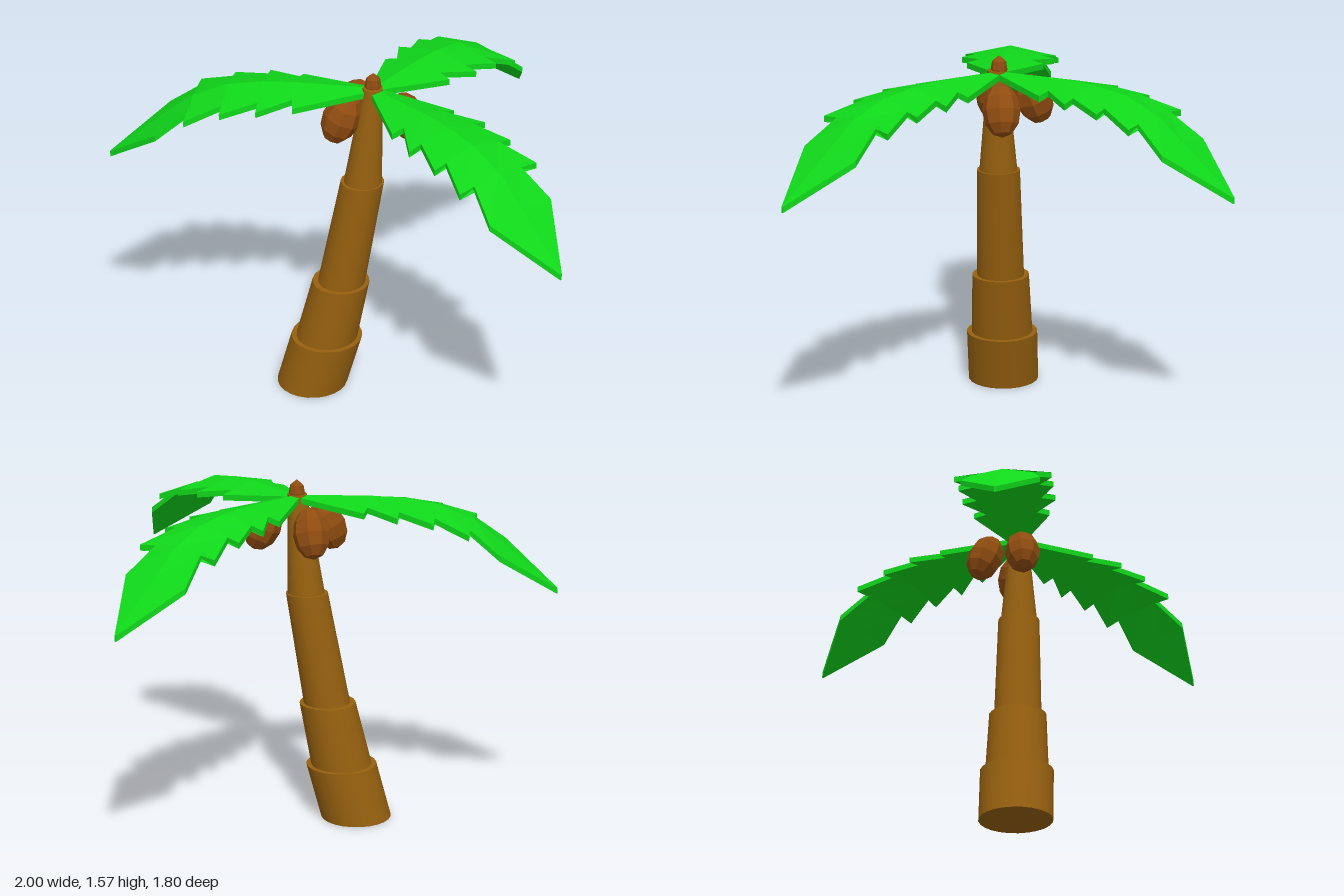
import * as THREE from 'three';

const bark = new THREE.MeshStandardMaterial({ color: 0x96600f });
const shell = new THREE.MeshStandardMaterial({ color: 0x904c10, flatShading: true });
const leaf = new THREE.MeshStandardMaterial({ color: 0x10d81a, flatShading: true });

const AXIS_Z = 0.105;

// One tapered trunk section whose level ends are shifted sideways (a lean by shear)
function trunkSection([y0, x0, r0, y1, x1, r1]) {
  const h = y1 - y0;
  const geo = new THREE.CylinderGeometry(r1, r0, h, 24);
  const lean = new THREE.Matrix4().set(
    1, (x1 - x0) / h, 0, (x0 + x1) / 2,
    0, 1, 0, (y0 + y1) / 2,
    0, 0, 1, AXIS_Z,
    0, 0, 0, 1);
  geo.applyMatrix4(lean);
  return new THREE.Mesh(geo, bark);
}

// Frond: stations along its length as [distance, half width, ridge height, edge drop]
function frondGeometry() {
  const stations = [
    [0.0, 0.02, 1.495, 0.005],
    [0.322, 0.17, 1.503, 0.042], [0.33, 0.115, 1.503, 0.028],
    [0.472, 0.208, 1.498, 0.045], [0.465, 0.14, 1.498, 0.03],
    [0.627, 0.208, 1.475, 0.042], [0.615, 0.14, 1.477, 0.028],
    [0.78, 0.21, 1.412, 0.022], [0.765, 0.125, 1.418, 0.013],
    [0.913, 0.168, 1.312, 0.018],
    [1.155, 0.004, 1.118, 0.0],
  ];
  const thick = 0.026;
  const rings = stations.map(([t, w, y, drop], i) => {
    // the ridge keeps moving forward even where a notch cuts back
    const tr = i ? Math.max(t, stations[i - 1][0] + 0.002) : t;
    const e = y - drop;
    return [[t, e, -w], [tr, y, 0], [t, e, w],
      [t, e - thick, w], [tr, y - thick, 0], [t, e - thick, -w]];
  });
  const pos = [];
  const tri = (a, b, c) => pos.push(...a, ...b, ...c);
  for (let s = 0; s < rings.length - 1; s++) {
    const a = rings[s], b = rings[s + 1];
    for (let i = 0; i < 6; i++) {
      const j = (i + 1) % 6;
      tri(a[i], a[j], b[j]);
      tri(a[i], b[j], b[i]);
    }
  }
  // end caps, two quads each
  const first = rings[0], last = rings[rings.length - 1];
  for (const [i, j, k] of [[0, 1, 4], [0, 4, 5], [1, 2, 3], [1, 3, 4]]) {
    tri(first[k], first[j], first[i]);
    tri(last[i], last[j], last[k]);
  }
  const geo = new THREE.BufferGeometry();
  geo.setAttribute('position', new THREE.Float32BufferAttribute(pos, 3));
  geo.computeVertexNormals();
  return geo;
}

export function createModel() {
  const palm = new THREE.Group();
  palm.name = 'palmTree';

  // Trunk: stacked sections, each narrower than the one below
  const trunk = new THREE.Group();
  trunk.name = 'trunk';
  [
    [0, -0.115, 0.16, 0.25, -0.047, 0.16],
    [0.25, -0.047, 0.138, 0.54, 0.017, 0.127],
    [0.54, 0.02, 0.105, 1.05, 0.11, 0.094],
    [1.05, 0.113, 0.083, 1.5, 0.152, 0.042],
  ].forEach((spec, i) => {
    const section = trunkSection(spec);
    section.name = `trunkSection${i + 1}`;
    trunk.add(section);
  });
  palm.add(trunk);

  // Bud on the crown
  const budProfile = [[0, 1.46], [0.025, 1.47], [0.036, 1.505], [0.03, 1.54], [0, 1.565]]
    .map(([r, y]) => new THREE.Vector2(r, y));
  const bud = new THREE.Mesh(new THREE.LatheGeometry(budProfile, 8), shell);
  bud.name = 'bud';
  bud.position.set(0.152, 0, 0.097);
  palm.add(bud);

  // Three fronds arching out from the crown
  const frondGeo = frondGeometry();
  [180, 60, -43.4].forEach((deg, i) => {
    const frond = new THREE.Mesh(frondGeo, leaf);
    frond.name = `frond${i + 1}`;
    frond.position.set(0.153, 0, 0.098);
    frond.rotation.y = THREE.MathUtils.degToRad(deg);
    palm.add(frond);
  });

  // Coconuts hanging under the crown, lower ends swung outward
  const nutGeo = new THREE.SphereGeometry(1, 8, 6).scale(0.082, 0.115, 0.082);
  [[0.3, 0.075], [0.02, 0.13], [0.065, -0.045]].forEach(([x, z], i) => {
    const nut = new THREE.Mesh(nutGeo, shell);
    nut.name = `coconut${i + 1}`;
    nut.position.set(x, 1.357, z);
    const out = new THREE.Vector3(x - 0.14, 0, z - AXIS_Z).normalize();
    const swing = new THREE.Vector3(0, 1, 0).cross(out);
    nut.quaternion.setFromAxisAngle(swing, -0.4);
    palm.add(nut);
  });

  return palm;
}
